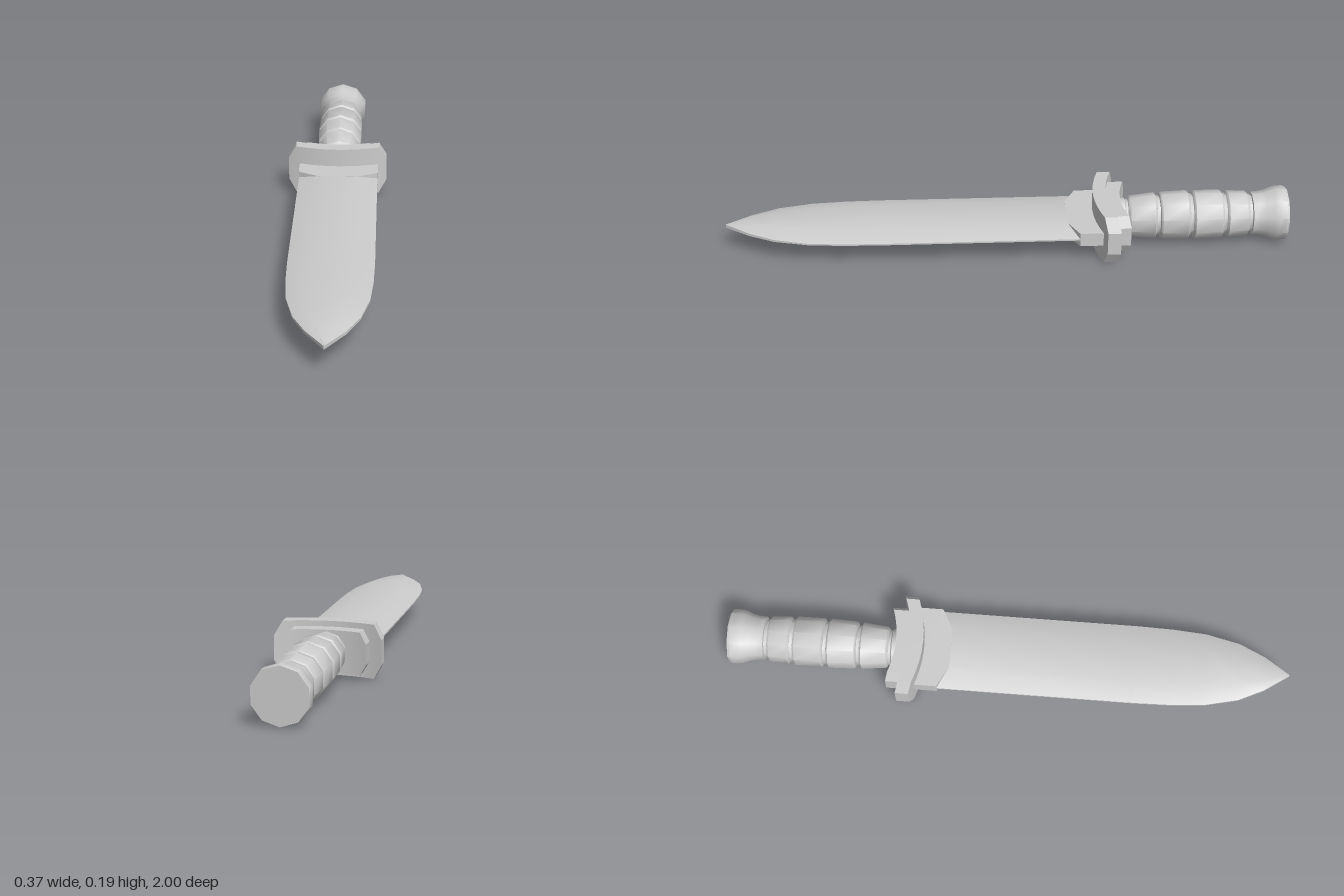
import * as THREE from 'three';
import { toCreasedNormals } from 'three/addons/utils/BufferGeometryUtils.js';

const MID_Y = 0.0975;   // height of the long axis
const BLADE_X = 0.005;  // the blade sits slightly off centre

// Skin a list of equal-length convex rings, closing both ends.
// Rings run counter-clockwise seen from the end of the loft.
function loft(rings, crease) {
  const n = rings[0].length;
  const index = [];
  for (let s = 0; s < rings.length - 1; s++) {
    for (let i = 0; i < n; i++) {
      const a = s * n + i, b = s * n + (i + 1) % n;
      index.push(a, b, b + n, a, b + n, a + n);
    }
  }
  const last = (rings.length - 1) * n;
  for (let i = 1; i < n - 1; i++) {
    index.push(0, i + 1, i);
    index.push(last, last + i, last + i + 1);
  }
  const geometry = new THREE.BufferGeometry();
  geometry.setAttribute('position', new THREE.Float32BufferAttribute(rings.flat(2), 3));
  geometry.setIndex(index);
  return toCreasedNormals(geometry, crease);
}

// Guard plate: a chamfered slab swept back towards its ends.
function guardPlate(halfWidth, cornerX, halfHeight, endHeight, front, back, sweep) {
  const stations = [[-halfWidth, endHeight]];
  for (let i = -4; i <= 4; i++) stations.push([cornerX * i / 4, halfHeight]);
  stations.push([halfWidth, endHeight]);
  return loft(stations.map(([x, h]) => {
    const z = -sweep * x * x;
    return [[x, -h, back + z], [x, h, back + z], [x, h, front + z], [x, -h, front + z]];
  }), 0.5);
}

export function createModel() {
  const group = new THREE.Group();
  const material = new THREE.MeshStandardMaterial({ color: 0xcccccc });
  const add = (name, geometry, x = 0) => {
    const mesh = new THREE.Mesh(geometry, material);
    mesh.name = name;
    mesh.position.set(x, MID_Y, 0);
    group.add(mesh);
    return mesh;
  };

  // Blade sections: z, half width, ridge half width, half thickness, edge half thickness
  const sections = [
    [-0.27, 0.146, 0.075, 0.025, 0.003],
    [0.45, 0.146, 0.075, 0.025, 0.003],
    [0.58, 0.143, 0.073, 0.025, 0.003],
    [0.7, 0.134, 0.068, 0.025, 0.003],
    [0.82, 0.106, 0.052, 0.024, 0.004],
    [0.91, 0.063, 0.031, 0.017, 0.005],
    [1.0, 0.001, 0.0005, 0.007, 0.006],
  ];
  add('blade', loft(sections.map(([z, w, r, t, e]) => [
    [w, -e, z], [w, e, z], [r, t, z], [-r, t, z],
    [-w, e, z], [-w, -e, z], [-r, -t, z], [r, -t, z],
  ]), 0.5), BLADE_X);

  // Full-thickness blade root with slanted shoulders where the bevels begin
  const plan = new THREE.Shape([
    [-0.147, 0.34], [-0.147, 0.25], [-0.072, 0.21],
    [0.072, 0.21], [0.147, 0.25], [0.147, 0.34],
  ].map(([x, y]) => new THREE.Vector2(x, y)));
  const root = new THREE.ExtrudeGeometry(plan, { depth: 0.051, bevelEnabled: false });
  root.translate(0, 0, -0.0255).rotateX(-Math.PI / 2);
  add('bladeRoot', root, BLADE_X);

  // Guard: large front plate and smaller plate behind it
  add('guardFront', guardPlate(0.184, 0.156, 0.0925, 0.043, -0.305, -0.352, 1.15));
  add('guardBack', guardPlate(0.14, 0.118, 0.073, 0.035, -0.335, -0.403, 1.4));

  // Ten-sided handle: grip bands split by grooves, then the flared pommel
  const profile = [[0, 0.36], [0.068, 0.36], [0.068, 0.418], [0.063, 0.422], [0.063, 0.43]];
  const bands = [
    [0.433, 0.532, 0.074, 0.083], [0.546, 0.65, 0.085, 0.088],
    [0.664, 0.77, 0.088, 0.087], [0.784, 0.862, 0.085, 0.081],
  ];
  for (const [start, end, r0, r1] of bands) {
    profile.push(
      [r0 - 0.005, start], [r0, start + 0.006],
      [r1, end - 0.006], [r1 - 0.005, end],
      [r1 - 0.011, end + 0.001], [r1 - 0.011, end + 0.012],
    );
  }
  profile.push([0.078, 0.876], [0.079, 0.9], [0.084, 0.925], [0.094, 0.95],
    [0.0975, 0.966], [0.0975, 0.992], [0.095, 1], [0, 1]);
  // Reversed so that the lathe surface faces outwards when laid along -z
  const points = profile.map(([r, d]) => new THREE.Vector2(r, -d)).reverse();
  const handle = new THREE.LatheGeometry(points, 10);
  handle.rotateX(Math.PI / 2);
  handle.deleteAttribute('normal');
  handle.deleteAttribute('uv');
  add('handle', toCreasedNormals(handle, 0.68));

  return group;
}
